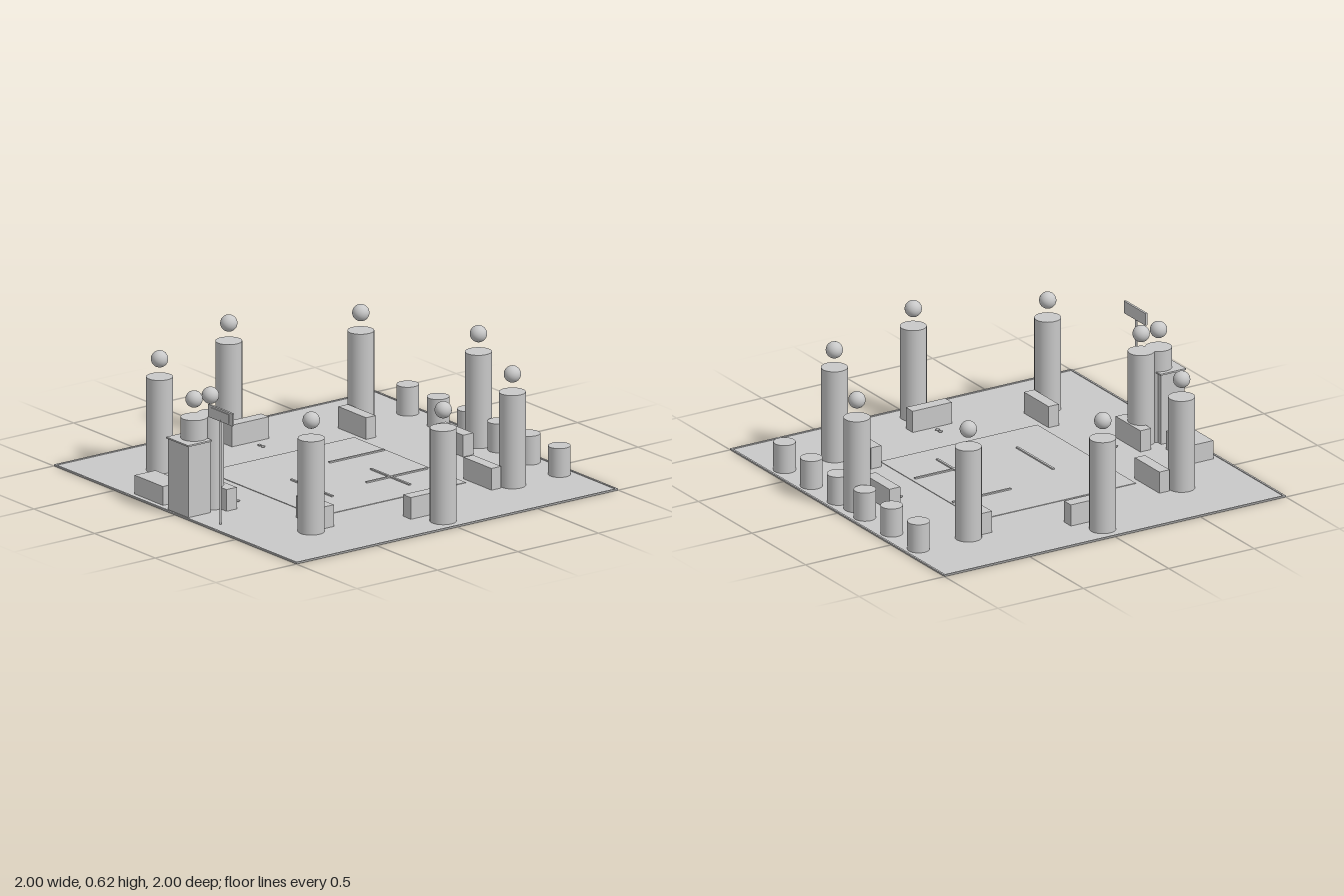
import * as THREE from 'three';

export function createModel() {
  const model = new THREE.Group();
  const grey = new THREE.MeshStandardMaterial({ color: 0xc8c8c8 });
  grey.name = 'plain grey';
  const floorTop = 0.004;

  const add = (name, geometry, x, y, z, parent = model) => {
    const mesh = new THREE.Mesh(geometry, grey);
    mesh.name = name;
    mesh.position.set(x, y, z);
    parent.add(mesh);
    return mesh;
  };
  // Box given by its centre on the floor plan and its bottom and top heights
  const box = (name, x, z, w, d, top, bottom = 0, parent = model) =>
    add(name, new THREE.BoxGeometry(w, top - bottom, d), x, (top + bottom) / 2, z, parent);
  const group = (name) => {
    const g = new THREE.Group();
    g.name = name;
    model.add(g);
    return g;
  };

  // Ground sheet with a low rim
  box('ground', 0, 0, 2, 2, floorTop);
  for (const s of [-1, 1]) {
    box('groundRim', 0, s * 0.995, 2, 0.01, 0.008);
    box('groundRim', s * 0.995, 0, 0.01, 1.98, 0.008);
  }

  // Shallow arena floor with low dividers
  box('arenaFloor', 0, 0, 0.92, 0.92, 0.007);
  const dividers = [
    [0.08, 0.21, 0.34, 0.012],
    [0.17, -0.21, 0.32, 0.012],
    [-0.2, -0.28, 0.012, 0.34],
    [0.17, -0.25, 0.012, 0.38],
  ];
  for (const [x, z, w, d] of dividers) box('divider', x, z, w, d, 0.014);

  // Standing figures: pillar body and floating round head
  const body = new THREE.CylinderGeometry(0.067, 0.067, 0.49, 32);
  const head = new THREE.SphereGeometry(0.043, 32, 20);
  const figures = [[0, -0.885], [0, 0.78], [0, 0.882], [-0.884, 0], [0.884, 0]];
  for (const x of [-0.625, 0.625]) for (const z of [-0.625, 0.625]) figures.push([x, z]);
  for (const [x, z] of figures) {
    const figure = group('figure');
    add('body', body, x, 0.245, z, figure);
    add('head', head, x, 0.582, z, figure);
  }

  // Benches in front of the figures
  for (const s of [-1, 1]) {
    box('bench', 0, s * 0.735, 0.23, 0.064, 0.117);
    box('bench', s * 0.738, 0, 0.064, 0.23, 0.117);
    for (const x of [-0.517, 0.517]) box('bench', x, s * 0.52, 0.23, 0.06, 0.117);
  }

  // Pairs of small tokens next to the benches
  const token = new THREE.OctahedronGeometry(0.014).scale(1, 0.5, 1);
  for (const [x, z] of [[0, -0.63], [0, 0.63], [-0.63, 0], [0.63, 0]])
    for (const dx of [0, 0.028]) add('token', token, x + dx, 0.011, z);

  // Row of stools along the back
  const stool = new THREE.CylinderGeometry(0.056, 0.056, 0.154, 32);
  for (let i = 0; i < 6; i++) add('stool', stool, -0.625 + i * 0.25, 0.077, -0.917);

  // Booth at the front
  const booth = group('booth');
  box('boothBody', 0, 0.912, 0.168, 0.136, 0.374, 0, booth);
  box('boothTop', 0, 0.912, 0.18, 0.15, 0.382, 0.374, booth);

  // Low table beside the booth
  box('lowTable', -0.268, 0.896, 0.234, 0.13, 0.102);

  // Blank sign board on a thin pole
  const sign = group('sign');
  add('pole', new THREE.CylinderGeometry(0.006, 0.006, 0.56, 12), 0.265, 0.28, 0.917, sign);
  box('board', 0.267, 0.915, 0.2, 0.012, 0.605, 0.54, sign);
  box('boardFace', 0.267, 0.923, 0.15, 0.004, 0.595, 0.55, sign);

  return model;
}
